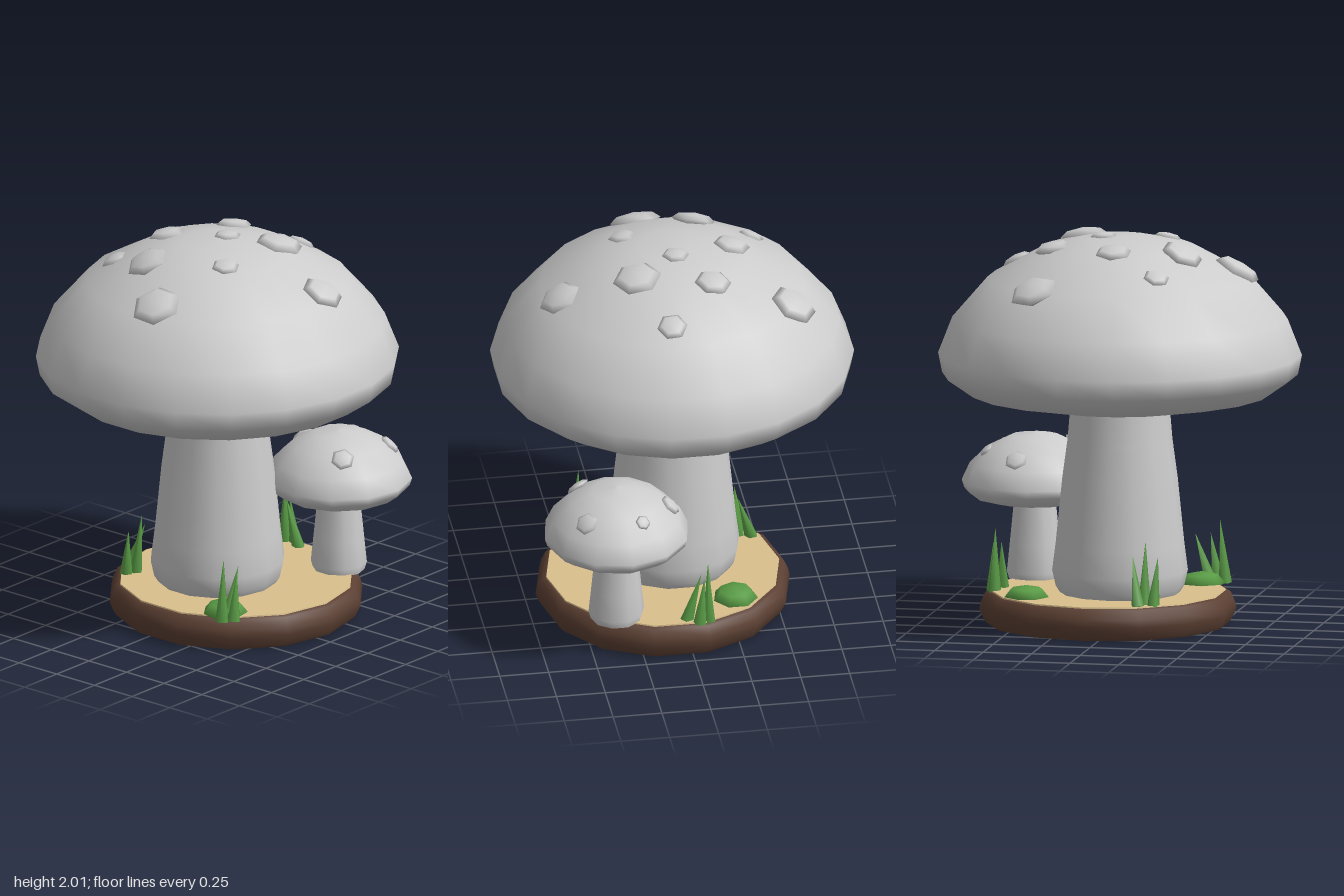
import * as THREE from 'three';

const material = (name, color, side = THREE.FrontSide) => {
  const m = new THREE.MeshStandardMaterial({ color, side });
  m.name = name;
  return m;
};

export function createModel() {
  const model = new THREE.Group();
  const pale = material('pale grey', 0xcccccc);
  const soil = material('brown soil', 0x5c4033);
  const sand = material('sand', 0xd9bf8c);
  const green = material('leaf green', 0x5a9c46);

  const add = (parent, name, geometry, mat, x = 0, y = 0, z = 0) => {
    const mesh = new THREE.Mesh(geometry, mat);
    mesh.name = name;
    mesh.position.set(x, y, z);
    parent.add(mesh);
    return mesh;
  };
  const lathe = (points, sides) =>
    new THREE.LatheGeometry(points.map(([r, y]) => new THREE.Vector2(r, y)), sides);

  // Round base: bulging soil wall, flat underside, sand top
  const base = new THREE.Group();
  base.name = 'base';
  base.position.set(0.075, 0, 0.06);
  model.add(base);
  add(base, 'soilWall', lathe([[0.615, 0], [0.625, 0.015], [0.65, 0.07], [0.64, 0.11], [0.62, 0.155], [0.59, 0.163]], 14), soil);
  const underside = new THREE.CircleGeometry(0.615, 14).rotateX(Math.PI / 2).rotateY(Math.PI / 2);
  add(base, 'soilUnderside', underside, soil);
  add(base, 'sandTop', new THREE.CylinderGeometry(0.595, 0.6, 0.02, 14), sand, 0, 0.158, 0);

  // Height and outward normal of a dome profile at distance r from its axis
  const domeAt = (profile, r) => {
    for (let i = profile.length - 1; i > 0; i--) {
      const [r0, y0] = profile[i - 1], [r1, y1] = profile[i];
      if (r >= r1 && r <= r0) {
        const t = (r0 - r) / (r0 - r1);
        return { y: y0 + (y1 - y0) * t, nr: y1 - y0, ny: r0 - r1 };
      }
    }
  };

  // Mushroom from stem, cap and flattened six-sided spots lying on the dome
  const mushroom = (name, x, z, stem, stemSides, under, dome, capSides, turn, spots) => {
    const group = new THREE.Group();
    group.name = name;
    group.position.set(x, 0, z);
    model.add(group);
    add(group, 'stem', lathe(stem, stemSides), pale);
    add(group, 'cap', lathe([...under, ...dome], capSides), pale).rotation.y = turn;
    for (const [sx, sz, size] of spots) {
      const r = Math.hypot(sx, sz);
      const { y, nr, ny } = domeAt(dome, r);
      const normal = new THREE.Vector3((nr * sx) / r, ny, (nr * sz) / r).normalize();
      const lump = new THREE.SphereGeometry(size, 6, 4).rotateY(Math.PI / 6).scale(1, 0.33, 1);
      const spot = add(group, 'spot', lump, pale, sx, y, sz);
      spot.quaternion.setFromUnitVectors(new THREE.Vector3(0, 1, 0), normal);
    }
  };

  mushroom('largeMushroom', 0, 0,
    [[0.3, 0.16], [0.325, 0.2], [0.343, 0.28], [0.325, 0.42], [0.292, 0.75], [0.265, 0.95], [0.25, 1.13]], 14,
    [[0, 1.105], [0.26, 1.11], [0.47, 1.135], [0.765, 1.19], [0.9, 1.285]],
    [[0.92, 1.385], [0.848, 1.57], [0.67, 1.775], [0.38, 1.935], [0.17, 1.982], [0, 1.988]], 20, Math.PI / 20,
    [[0.33, -0.57, 0.125], [-0.28, -0.45, 0.068], [-0.03, -0.31, 0.095], [-0.355, -0.165, 0.112],
      [0.315, -0.16, 0.095], [0.085, -0.005, 0.07], [-0.585, 0.095, 0.13], [-0.2, 0.225, 0.072],
      [0.55, 0.085, 0.077], [0.23, 0.215, 0.125], [0.12, 0.595, 0.112]]);

  mushroom('smallMushroom', 0.515, 0.367,
    [[0.13, 0.16], [0.142, 0.2], [0.128, 0.34], [0.105, 0.57]], 10,
    [[0, 0.548], [0.2, 0.552], [0.3, 0.575], [0.36, 0.62]],
    [[0.372, 0.66], [0.33, 0.75], [0.235, 0.84], [0.12, 0.895], [0, 0.91]], 12, Math.PI / 36,
    [[-0.17, 0.17, 0.06], [0.185, 0.18, 0.06], [0.23, -0.1, 0.04], [0.04, -0.27, 0.06]]);

  // Tufts: each blade leans from its foot to its tip [foot x, z, tip x, y, z]
  const tufts = [
    [[-0.455, 0.42, -0.432, 0.485, 0.41], [-0.41, 0.46, -0.375, 0.41, 0.45], [-0.385, 0.4, -0.305, 0.415, 0.4]],
    [[0.63, -0.09, 0.625, 0.49, -0.085], [0.65, -0.04, 0.64, 0.41, -0.065], [0.61, 0.02, 0.6, 0.415, -0.055]],
    [[-0.2, -0.37, -0.2, 0.485, -0.33], [-0.25, -0.39, -0.27, 0.41, -0.36], [-0.18, -0.435, -0.14, 0.41, -0.36]],
  ];
  for (const blades of tufts) {
    const tuft = new THREE.Group();
    tuft.name = 'grassTuft';
    model.add(tuft);
    for (const [fx, fz, tx, ty, tz] of blades) {
      const foot = new THREE.Vector3(fx, 0.16, fz);
      const lean = new THREE.Vector3(tx, ty, tz).sub(foot);
      const length = lean.length();
      const blade = add(tuft, 'grassBlade',
        new THREE.ConeGeometry(0.035, length, 5).translate(0, length / 2, 0), green, ...foot.toArray());
      blade.quaternion.setFromUnitVectors(new THREE.Vector3(0, 1, 0), lean.normalize());
    }
  }

  // Mossy lumps
  for (const [x, z, turn] of [[-0.35, 0.35, 0.4], [0.43, -0.255, 0]]) {
    const lump = new THREE.SphereGeometry(0.115, 7, 4).scale(1, 0.5, 1);
    add(model, 'mossLump', lump, green, x, 0.17, z).rotation.y = turn;
  }
  return model;
}
